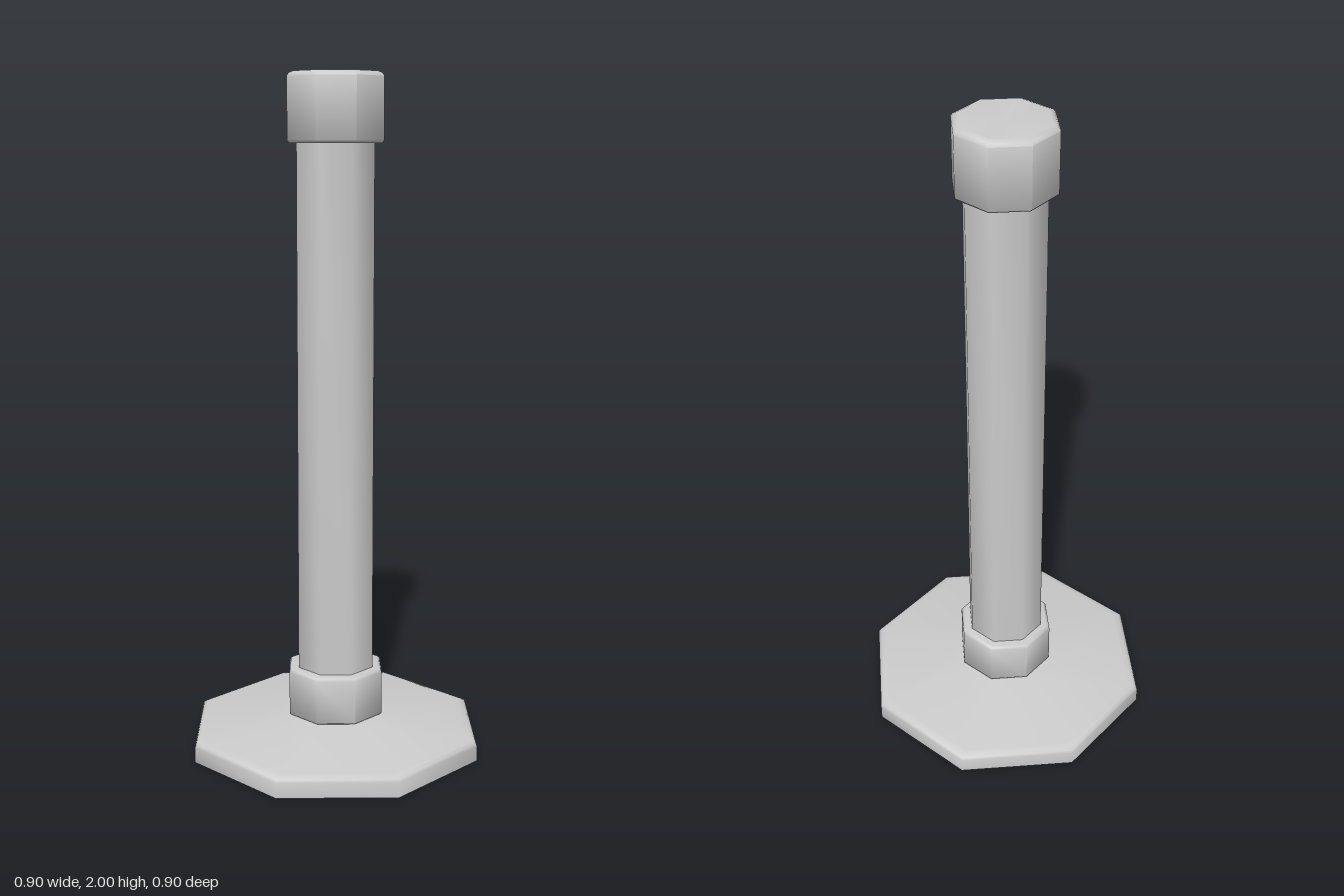
import * as THREE from 'three';
import { toCreasedNormals } from 'three/addons/utils/BufferGeometryUtils.js';

const SIDES = 8;
const material = new THREE.MeshStandardMaterial({ color: 0xcccccc });

// Eight-sided turned part; profile is [radius, height] from bottom to top
function turned(name, profile) {
  const points = profile.map(([r, y]) => new THREE.Vector2(r, y));
  const geometry = toCreasedNormals(new THREE.LatheGeometry(points, SIDES), 0.9);
  const mesh = new THREE.Mesh(geometry, material);
  mesh.name = name;
  return mesh;
}

// Ring or cap with softly bevelled rims
function bevelled(name, radius, bottom, top, bevelBottom, bevelTop, drop) {
  return turned(name, [
    [0, bottom],
    [radius - bevelBottom, bottom],
    [radius, bottom + bevelBottom],
    [radius, top - drop],
    [radius - bevelTop * 0.3, top - drop * 0.4],
    [radius - bevelTop, top],
    [radius - bevelTop - 0.006, top],
    [0, top],
  ]);
}

export function createModel() {
  const group = new THREE.Group();
  group.name = 'post';

  // Wide foot with a shallow sloping top
  group.add(turned('base', [
    [0, 0], [0.452, 0], [0.452, 0.045], [0.448, 0.054], [0.438, 0.06],
    [0.42, 0.063], [0.15, 0.1], [0.12, 0.104], [0, 0.104],
  ]));

  // Collar where the pole meets the foot
  group.add(bevelled('collar', 0.15, 0.1, 0.247, 0.006, 0.012, 0.012));

  // Straight pole
  group.add(turned('pole', [[0.12, 0.1], [0.12, 1.85]]));

  // Cap at the top
  group.add(bevelled('cap', 0.148, 1.802, 2, 0.006, 0.02, 0.014));

  return group;
}
